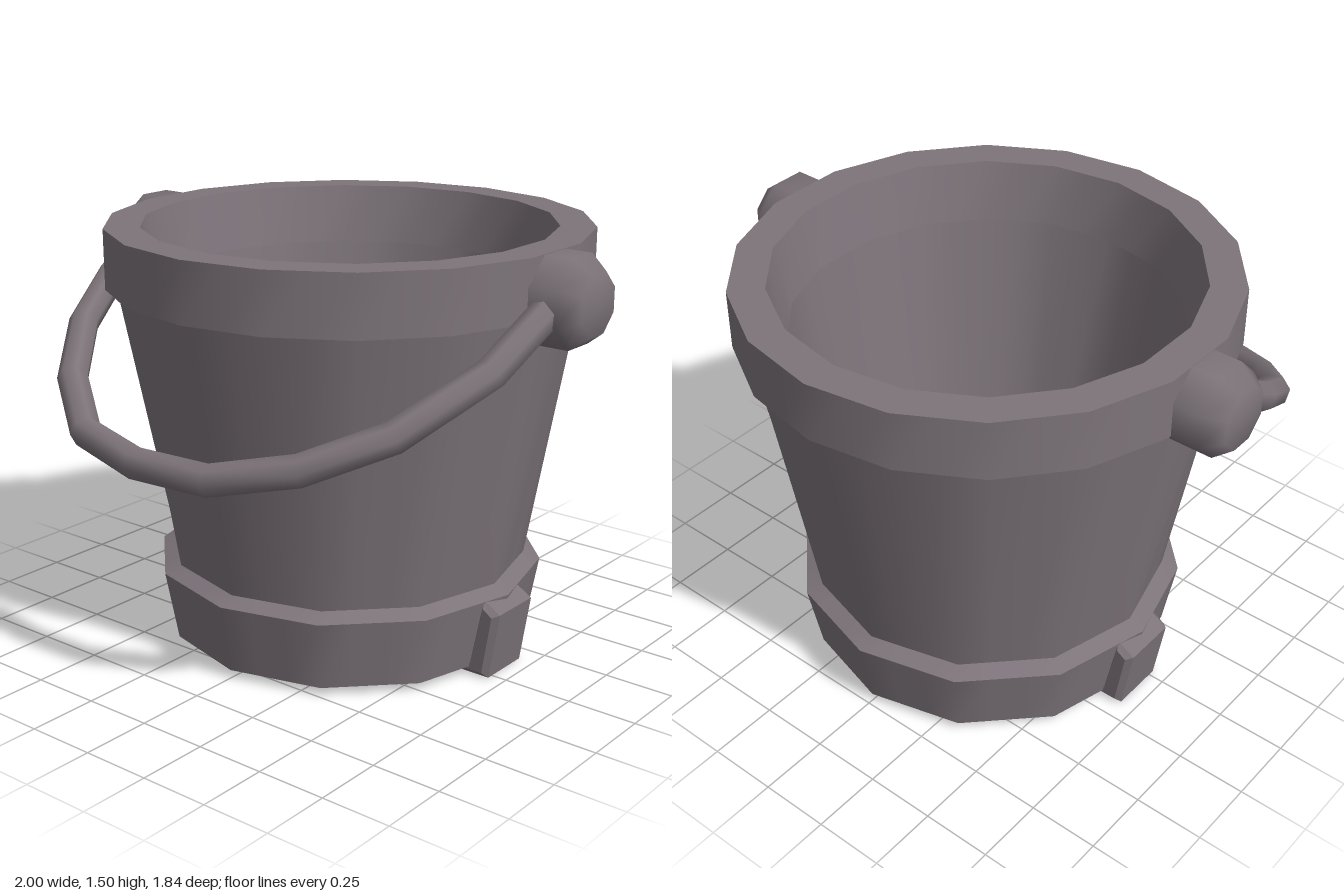
import * as THREE from 'three';
import { toCreasedNormals } from 'three/addons/utils/BufferGeometryUtils.js';

// Skin over polygonal rings [circumradius, height, sides], sampled every 10 degrees
// so that a 12-sided ring can blend into an 18-sided one.
function loft(rings) {
  const N = 36, pos = [], idx = [];
  for (const [r, y, sides] of rings) {
    const step = (2 * Math.PI) / sides;
    for (let j = 0; j < N; j++) {
      const a = (j / N) * 2 * Math.PI;
      const k = Math.floor(a / step + 1e-6);
      const d = r * Math.cos(step / 2) / Math.cos(a - (k + 0.5) * step);
      pos.push(d * Math.sin(a), y, d * Math.cos(a));
    }
  }
  for (let i = 0; i < rings.length - 1; i++) {
    for (let j = 0; j < N; j++) {
      const a = i * N + j, b = i * N + (j + 1) % N;
      if (rings[i][0] > 0) idx.push(a, b, b + N);
      if (rings[i + 1][0] > 0) idx.push(a, b + N, a + N);
    }
  }
  const g = new THREE.BufferGeometry();
  g.setAttribute('position', new THREE.Float32BufferAttribute(pos, 3));
  g.setIndex(idx);
  return toCreasedNormals(g, THREE.MathUtils.degToRad(38));
}

export function createModel() {
  const model = new THREE.Group();
  model.name = 'bucket';
  const grey = new THREE.MeshStandardMaterial({ color: 0x7d747a });
  grey.name = 'warm grey';

  const add = (parent, name, geometry) => {
    const mesh = new THREE.Mesh(geometry, grey);
    mesh.name = name;
    parent.add(mesh);
    return mesh;
  };

  // Pail, set slightly back to balance the handle
  const pail = new THREE.Group();
  pail.name = 'pail';
  pail.position.z = -0.075;
  model.add(pail);

  add(pail, 'baseBand', loft([[0, 0.03, 12], [0.655, 0.03, 12], [0.7, 0.28, 12], [0.63, 0.31, 12]]));
  add(pail, 'outerWall', loft([[0.64, 0.3, 12], [0.81, 1.29, 18]]));
  add(pail, 'rim', loft([[0.8, 1.29, 18], [0.85, 1.29, 18], [0.85, 1.5, 18], [0.725, 1.5, 18], [0.675, 1.29, 18]]));
  add(pail, 'innerWallAndFloor', loft([[0.675, 1.29, 18], [0.525, 0.3, 12], [0, 0.3, 12]]));

  // Handle knob: eight-sided, with a rounded end pointing outwards
  const knobProfile = [[0.16, 0.78], [0.16, 0.935], [0.108, 1.0], [0, 1.0]].map(p => new THREE.Vector2(...p));
  const knob = new THREE.LatheGeometry(knobProfile, 8, Math.PI / 8);
  knob.rotateZ(-Math.PI / 2);
  knob.translate(0, 1.35, 0.01);

  // L-shaped foot that wraps under the base band
  const bevel = 0.02;
  const footShape = new THREE.Shape([
    [0.45, 0.02], [0.675, 0.02], [0.71, 0.235], [0.675, 0.258], [0.63, 0.05], [0.45, 0.03],
  ].map(p => new THREE.Vector2(...p)));
  const foot = new THREE.ExtrudeGeometry(footShape, {
    depth: 0.195, bevelEnabled: true, bevelSize: bevel, bevelThickness: bevel, bevelSegments: 1,
  });
  foot.translate(0, 0, -0.0975);

  for (const [side, turn] of [['left', 0], ['right', Math.PI]]) {
    const k = add(pail, side + 'Knob', knob);
    k.scale.z = turn ? -1 : 1;
    k.rotation.y = turn;
    if (turn) { // plain half turn, shifted to keep both knobs level in depth
      k.scale.z = 1;
      k.position.z = 0.02;
    }
    add(pail, side + 'Foot', foot).rotation.y = turn;
  }

  // Handle: [x, z] points on a plane sloping down to the front
  const path = [
    [-0.9, -0.04], [-0.9, 0.2], [-0.83, 0.42], [-0.66, 0.64], [-0.42, 0.81], [-0.13, 0.865],
    [0.18, 0.855], [0.46, 0.75], [0.685, 0.575], [0.845, 0.3], [0.88, 0.07], [0.88, -0.04],
  ].map(([x, z]) => new THREE.Vector3(x, 1.36 - 0.61 * z, z));
  const curve = new THREE.CatmullRomCurve3(path);
  curve.getPointAt = curve.getPoint; // place tube rings exactly on the points
  curve.getTangentAt = curve.getTangent;
  add(model, 'handle', new THREE.TubeGeometry(curve, path.length - 1, 0.055, 7));

  return model;
}
